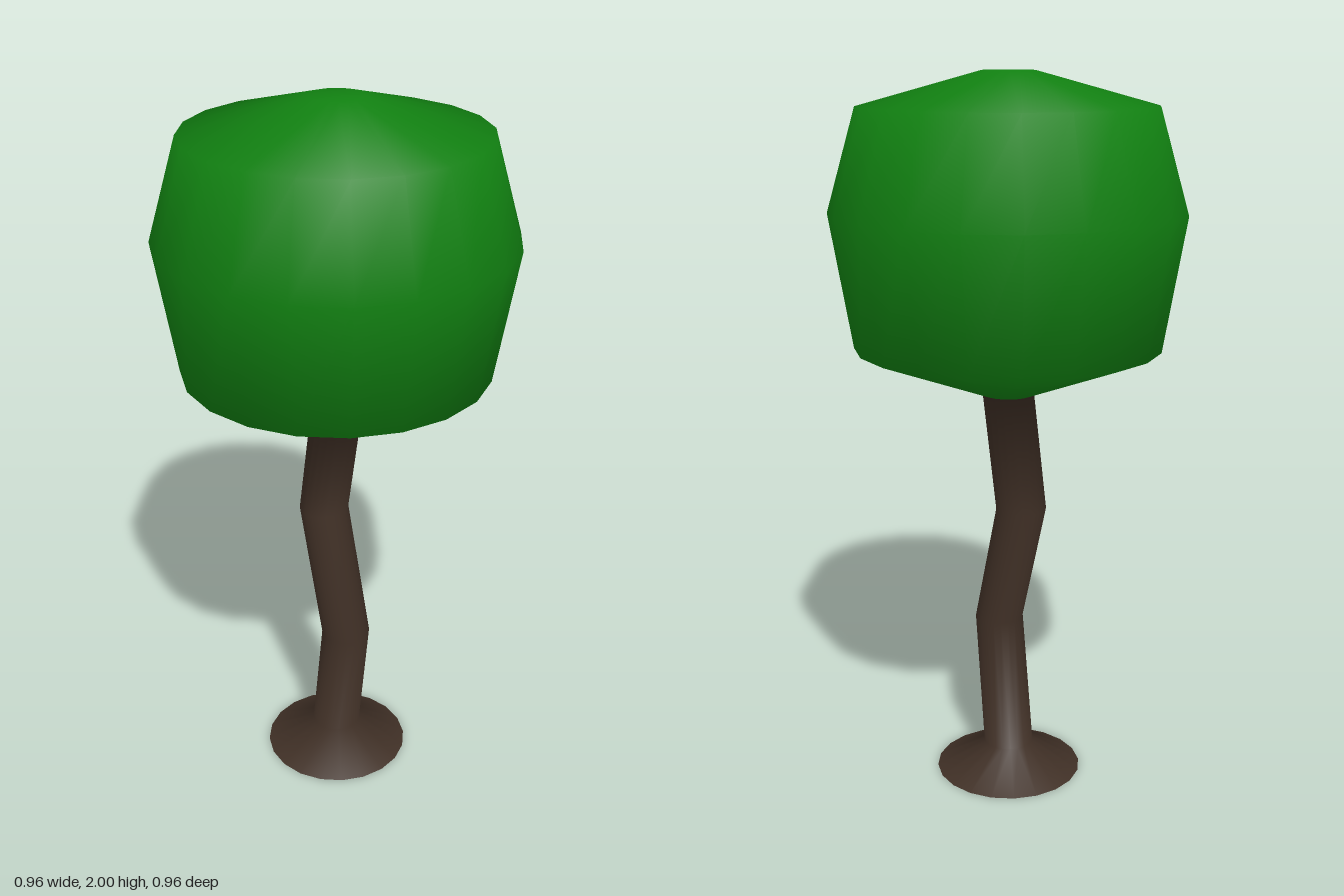
import * as THREE from 'three';

const SIDES = 20;

// Rings from the ground up: [height, centre x, centre z, radius]
const RINGS = [
  [0, 0, 0, 0.21],
  [0.08, 0, 0, 0.071],
  [0.45, 0, 0.07, 0.069],
  [0.815, -0.02, -0.045, 0.07],
  [1.138, 0, 0, 0.071], // trunk meets crown
  [1.273, 0, 0, 0.42],
  [1.637, 0, 0, 0.48],
  [1.91, 0, 0, 0.4],
  [2, 0, 0, 0.071],
];
const CROWN_START = 4;

export function createModel() {
  const bark = new THREE.MeshStandardMaterial({ color: 0x403026, side: THREE.DoubleSide });
  bark.name = 'bark brown';
  const leaf = new THREE.MeshStandardMaterial({ color: 0x118011 });
  leaf.name = 'leaf green';

  // Vertices of one continuous skin
  const points = [];
  for (const [y, cx, cz, r] of RINGS) {
    for (let j = 0; j < SIDES; j++) {
      const a = (j / SIDES) * Math.PI * 2;
      points.push(cx + r * Math.cos(a), y, cz + r * Math.sin(a));
    }
  }
  points.push(0, 2, 0);

  // Bands between neighbouring rings
  const bands = (from, to) => {
    const index = [];
    for (let i = from; i < to; i++) {
      for (let j = 0; j < SIDES; j++) {
        const a = i * SIDES + j;
        const b = i * SIDES + ((j + 1) % SIDES);
        index.push(a, a + SIDES, b, b, a + SIDES, b + SIDES);
      }
    }
    return index;
  };
  const last = RINGS.length - 1;
  const trunkIndex = bands(0, CROWN_START);
  const crownIndex = bands(CROWN_START, last);

  // Flat cap on top of the crown
  for (let j = 0; j < SIDES; j++) {
    crownIndex.push(RINGS.length * SIDES, last * SIDES + ((j + 1) % SIDES), last * SIDES + j);
  }

  // Smooth normals across the whole skin, then split by part
  const skin = new THREE.BufferGeometry();
  skin.setAttribute('position', new THREE.Float32BufferAttribute(points, 3));
  skin.setIndex([...trunkIndex, ...crownIndex]);
  skin.computeVertexNormals();

  const group = new THREE.Group();
  group.name = 'tree';
  const addPart = (name, index, material) => {
    const mesh = new THREE.Mesh(skin.clone().setIndex(index).toNonIndexed(), material);
    mesh.name = name;
    group.add(mesh);
  };
  addPart('trunk', trunkIndex, bark);
  addPart('crown', crownIndex, leaf);
  return group;
}
